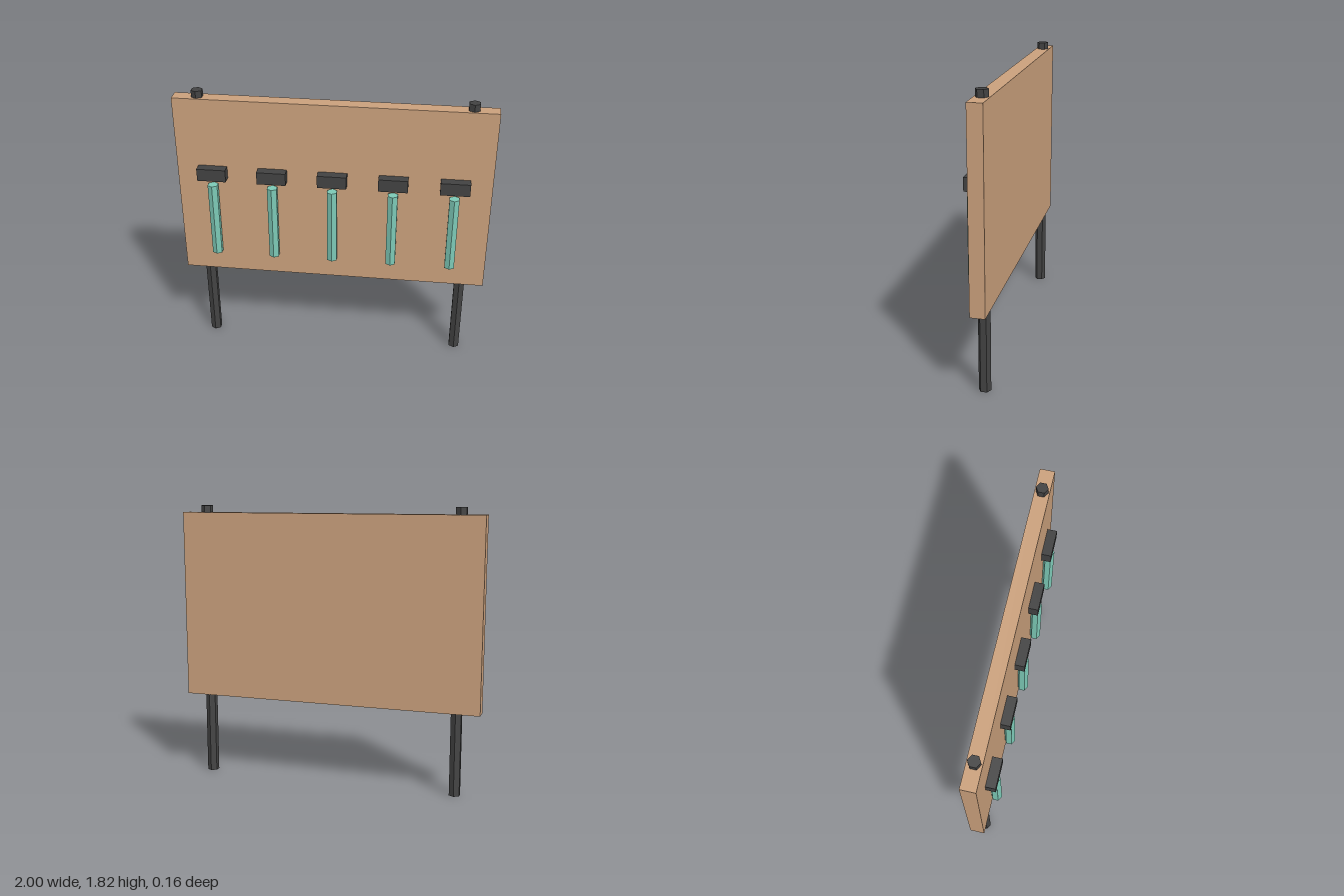
import * as THREE from 'three';

const flat = (name, color) => {
  const m = new THREE.MeshStandardMaterial({ color });
  m.name = name;
  return m;
};

export function createModel() {
  const wood = flat('tan wood', 0xcaa07c);
  const dark = flat('dark metal', 0x424242);
  const teal = flat('teal grip', 0x7cc8b5);

  const root = new THREE.Group();
  root.name = 'toolBoard';

  const add = (parent, name, geometry, material, x, y, z) => {
    const mesh = new THREE.Mesh(geometry, material);
    mesh.name = name;
    mesh.position.set(x, y, z);
    parent.add(mesh);
  };
  // six-sided rod with flat faces
  const hexRod = (r, h) => new THREE.CylinderGeometry(r, r, h, 6).toNonIndexed();
  const faceted = (g) => { g.computeVertexNormals(); return g; };

  // backing board
  add(root, 'board', new THREE.BoxGeometry(2, 1.23, 0.092), wood, 0, 1.155, -0.031);

  // posts running up through the board
  const postGeo = faceted(hexRod(0.038, 1.815));
  for (const side of [-1, 1]) {
    add(root, side < 0 ? 'rightPost' : 'leftPost', postGeo, dark, side * 0.846, 0.9075, -0.031);
  }

  // row of hammers hung on the front
  const handleGeo = faceted(hexRod(0.0355, 0.505));
  const headGeo = new THREE.BoxGeometry(0.185, 0.082, 0.062);
  for (let i = 0; i < 5; i++) {
    const hammer = new THREE.Group();
    hammer.name = `hammer${i + 1}`;
    hammer.position.x = (i - 2) * 0.3846;
    add(hammer, 'handle', handleGeo, teal, 0, 0.948, 0.048);
    add(hammer, 'head', headGeo, dark, 0, 1.278, 0.046);
    root.add(hammer);
  }
  return root;
}
